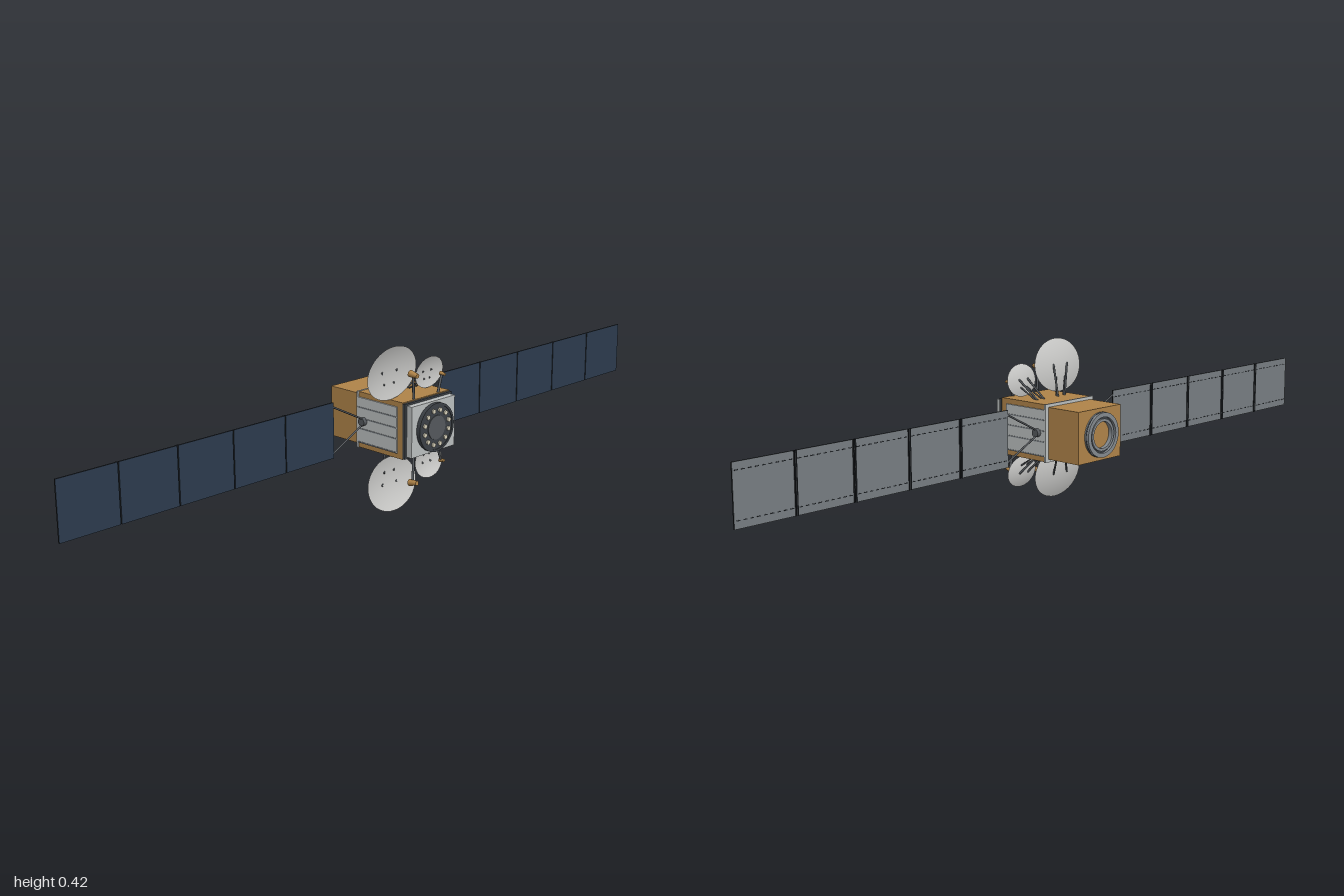
import * as THREE from 'three';

const mat = (name, color) => {
  const m = new THREE.MeshStandardMaterial({ color });
  m.name = name;
  return m;
};

export function createModel() {
  const gold = mat('gold foil', 0xb08449);
  const silver = mat('silver panel', 0xbcc0c0);
  const dishMat = mat('dish white', 0xcacac8);
  dishMat.side = THREE.DoubleSide;
  const steel = mat('steel grey', 0x858b90);
  const dark = mat('dark grey', 0x3c4146);
  const strutMat = mat('strut grey', 0x55595d);
  const cell = mat('solar cell blue', 0x2c3b4e);
  const backing = mat('panel backing grey', 0x787e82);
  const edge = mat('panel edge black', 0x22262a);
  const cream = mat('stud cream', 0xd8d2bc);

  const model = new THREE.Group();
  model.name = 'satellite';
  const CY = 0.2125; // height of the long axis

  const add = (name, geo, material, x, y, z, parent = model) => {
    const m = new THREE.Mesh(geo, material);
    m.name = name;
    m.position.set(x, y, z);
    parent.add(m);
    return m;
  };
  // box given by its size in x and y about the axis and its z range
  const block = (name, material, w, h, z0, z1) =>
    add(name, new THREE.BoxGeometry(w, h, z1 - z0), material, 0, CY, (z0 + z1) / 2);
  // round bar, or a cone frustum, between two points
  const rod = (name, a, b, ra, rb, material, parent = model, sides = 8) => {
    const A = new THREE.Vector3(...a), B = new THREE.Vector3(...b);
    const d = B.clone().sub(A);
    const m = add(name, new THREE.CylinderGeometry(rb, ra, d.length(), sides), material, 0, 0, 0, parent);
    m.position.copy(A).add(B).multiplyScalar(0.5);
    m.quaternion.setFromUnitVectors(new THREE.Vector3(0, 1, 0), d.normalize());
    return m;
  };
  // ring with square section, axis along z
  const ring = (name, rOut, rIn, z0, z1, material) => {
    const s = new THREE.Shape().absarc(0, 0, rOut, 0, Math.PI * 2, false);
    s.holes.push(new THREE.Path().absarc(0, 0, rIn, 0, Math.PI * 2, true));
    const geo = new THREE.ExtrudeGeometry(s, { depth: z1 - z0, bevelEnabled: false, curveSegments: 32 });
    return add(name, geo, material, 0, CY, z0);
  };

  // body
  block('mainBody', gold, 0.17, 0.147, -0.035, 0.118);
  block('rearFlange', silver, 0.178, 0.149, -0.04, -0.035);
  block('rearBody', gold, 0.158, 0.133, -0.142, -0.04);
  block('frontCollar', dark, 0.172, 0.142, 0.118, 0.126);
  block('frontPlate', silver, 0.158, 0.132, 0.126, 0.143);

  // front antenna disc with a ring of studs
  rod('frontDisc', [0, CY, 0.143], [0, CY, 0.153], 0.062, 0.062, dark, model, 40);
  ring('frontDiscRim', 0.063, 0.057, 0.146, 0.155, dark);
  rod('frontDiscCentre', [0, CY, 0.153], [0, CY, 0.155], 0.031, 0.031, strutMat, model, 32);
  for (let i = 0; i < 12; i++) {
    const a = (i + 0.5) * Math.PI / 6, x = Math.cos(a) * 0.045, y = CY + Math.sin(a) * 0.045;
    rod('stud', [x, y, 0.153], [x, y, 0.157], 0.006, 0.006, cream, model, 10);
  }

  // rear engine ring
  ring('engineRing', 0.057, 0.046, -0.155, -0.142, steel);
  ring('engineRingBand', 0.0575, 0.054, -0.149, -0.145, dark);
  ring('engineInnerGroove', 0.046, 0.041, -0.148, -0.142, dark);
  ring('engineInnerRing', 0.041, 0.034, -0.153, -0.142, steel);

  for (const side of [1, -1]) {
    // ribbed radiator on the side wall
    add('sideRadiator', new THREE.BoxGeometry(0.004, 0.12, 0.135), silver, side * 0.087, CY, 0.0325);
    for (const y of [-0.058, -0.022, 0.006, 0.034])
      add('radiatorRib', new THREE.BoxGeometry(0.002, 0.003, 0.135), steel, side * 0.0895, CY + y, 0.0325);

    // solar wing with hub and yoke
    const wing = new THREE.Group();
    wing.name = side > 0 ? 'leftSolarWing' : 'rightSolarWing';
    model.add(wing);
    const Z = -0.013, x0 = 0.195, step = 0.161;
    rod('wingHub', [side * 0.085, CY, Z], [side * 0.1, CY, Z], 0.0105, 0.0105, strutMat, wing, 20);
    for (const s of [1, -1])
      rod('yokeArm', [side * 0.092, CY + s * 0.006, Z], [side * 0.197, CY + s * 0.06, Z], 0.0025, 0.0025, strutMat, wing);
    for (let i = 0; i < 5; i++) {
      const cx = side * (x0 + (i + 0.5) * step);
      add('solarPanel', new THREE.BoxGeometry(step - 0.003, 0.144, 0.004),
        [edge, edge, edge, edge, cell, backing], cx, CY, Z, wing);
      // dashed stitching on the back
      for (const s of [1, -1]) for (let k = 0; k < 9; k++)
        add('backDash', new THREE.BoxGeometry(0.009, 0.002, 0.001), edge,
          cx + (k - 4) * 0.0172, CY + s * 0.054, Z - 0.0023, wing);
      // hinge bars on the back beside each seam
      if (i > 0) for (const s of [1, -1])
        add('hingeBar', new THREE.BoxGeometry(i % 2 ? 0.003 : 0.0015, 0.144, 0.002), edge,
          side * (x0 + i * step) + s * 0.0032, CY, Z - 0.003, wing);
    }
  }

  // dish reflector: unit bowl opening to +z, rim at z = 0
  const bowl = () => {
    const pts = [];
    for (let i = 0; i <= 10; i++) pts.push(new THREE.Vector2(Math.max(i / 10, 0.0001), (i / 10) ** 2 - 1));
    return new THREE.LatheGeometry(pts, 40).rotateX(Math.PI / 2);
  };
  const dishes = [
    { name: 'largeDish', x: -0.087, h: 0.143, z: 0.0835, rx: 0.086, ry: 0.07, depth: 0.012, base: -0.038,
      feed: [-0.053, 0.14, 0.125], len: 0.0125, r: 0.009, foot: [-0.04, 0.07, 0.113] },
    { name: 'smallDish', x: 0.053, h: 0.119, z: 0.079, rx: 0.051, ry: 0.042, depth: 0.008, base: 0.036,
      feed: [0.075, 0.115, 0.105], len: 0.0075, r: 0.0055, foot: [0.048, 0.07, 0.113] },
  ];
  for (const s of [1, -1]) for (const d of dishes) {
    const g = new THREE.Group();
    g.name = (s > 0 ? 'upper ' : 'lower ') + d.name;
    model.add(g);
    const dish = add('reflector', bowl(), dishMat, d.x, CY + s * d.h, d.z, g);
    dish.scale.set(d.rx, d.ry, d.depth);
    dish.rotation.x = s * 0.125;
    // struts behind the reflector
    const back = d.z - d.depth + 0.002;
    for (const k of [1, -1]) {
      rod('dishStrut', [d.base + k * 0.012, CY + s * 0.07, 0.024],
        [d.x + k * d.rx * 0.3, CY + s * (d.h + 0.004), back], 0.0026, 0.0026, strutMat, g);
      rod('dishBrace', [d.base + k * 0.012, CY + s * 0.07, 0.03],
        [d.x + k * d.rx * 0.2, CY + s * (d.h - d.ry * 0.4), back - 0.001], 0.002, 0.002, strutMat, g);
    }
    // feed horn on its arm, wide end toward the reflector
    const [fx, fh, fz] = d.feed, t = d.len * 0.12;
    rod('feedArm', [d.foot[0], CY + s * d.foot[1], d.foot[2]], [fx, CY + s * fh, fz - 0.003], 0.0033, 0.0033, strutMat, g);
    rod('feedHorn', [fx, CY + s * (fh + t), fz - d.len], [fx, CY + s * (fh - t), fz + d.len], d.r, d.r * 0.65, gold, g, 16);
  }
  return model;
}
